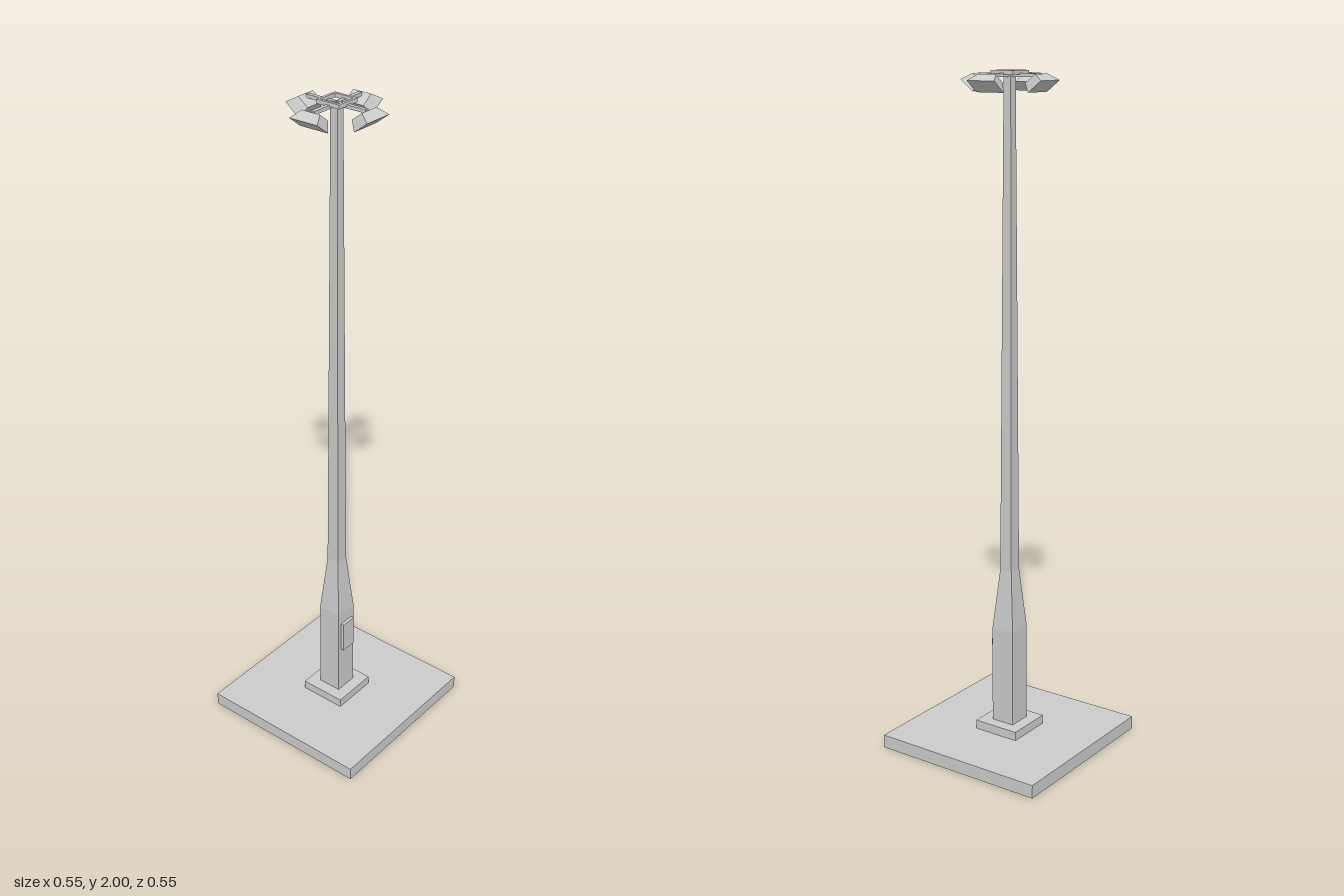
import * as THREE from 'three';

const grey = new THREE.MeshStandardMaterial({ color: 0xcccccc, flatShading: true, side: THREE.DoubleSide });

function add(parent, name, geometry, x = 0, y = 0, z = 0) {
  const mesh = new THREE.Mesh(geometry, grey);
  mesh.name = name;
  mesh.position.set(x, y, z);
  parent.add(mesh);
  return mesh;
}

// Skin over four-cornered sections, closed by a quad at the chosen ends.
function loft(sections, capStart = true, capEnd = true) {
  const index = [];
  const quad = (a, b, c, d) => index.push(a, b, c, a, c, d);
  for (let s = 0; s < sections.length - 1; s++) {
    for (let i = 0; i < 4; i++) {
      const j = (i + 1) % 4;
      quad(s * 4 + i, s * 4 + j, s * 4 + 4 + j, s * 4 + 4 + i);
    }
  }
  const e = (sections.length - 1) * 4;
  if (capStart) quad(3, 2, 1, 0);
  if (capEnd) quad(e, e + 1, e + 2, e + 3);
  const geometry = new THREE.BufferGeometry();
  geometry.setAttribute('position', new THREE.Float32BufferAttribute(sections.flat(2), 3));
  geometry.setIndex(index);
  const flat = geometry.toNonIndexed();
  flat.computeVertexNormals();
  return flat;
}

// Horizontal square of half width r at height y, counter-clockwise from above.
const square = (r, y) => [[-r, y, r], [r, y, r], [r, y, -r], [-r, y, -r]];

// Square frame lying flat, with a square hole.
function frame(outer, inner, height) {
  const points = (r) => [[-r, -r], [r, -r], [r, r], [-r, r]].map(([x, y]) => new THREE.Vector2(x, y));
  const shape = new THREE.Shape(points(outer));
  shape.holes.push(new THREE.Path(points(inner).reverse()));
  return new THREE.ExtrudeGeometry(shape, { depth: height, bevelEnabled: false }).rotateX(-Math.PI / 2);
}

export function createModel() {
  const model = new THREE.Group();
  model.name = 'floodlightMast';

  // Ground slab, hollow underneath, and the plinth on it
  add(model, 'groundSlab', loft([square(0.273, 0), square(0.273, 0.04)], false, true));
  add(model, 'plinth', new THREE.BoxGeometry(0.146, 0.028, 0.146), 0, 0.053, 0);

  // Square pole: straight foot, shoulder, long taper
  add(model, 'pole', loft([
    square(0.037, 0.066), square(0.037, 0.365), square(0.02, 0.55), square(0.012, 1.987),
  ]));
  add(model, 'serviceDoor', new THREE.BoxGeometry(0.05, 0.1, 0.016), 0, 0.275, 0.039);

  // Crown frame
  add(model, 'crownFrame', frame(0.038, 0.03, 0.012), 0, 1.988, 0);

  // Four arms, each with a flared lamp tilted outward and down
  const lamp = loft([
    [[-0.03, 1.967, 0.073], [0.03, 1.967, 0.073], [0.03, 1.991, 0.105], [-0.03, 1.991, 0.105]],
    [[-0.046, 1.942, 0.093], [0.046, 1.942, 0.093], [0.046, 1.974, 0.135], [-0.046, 1.974, 0.135]],
  ]);
  for (let i = 0; i < 4; i++) {
    const unit = new THREE.Group();
    unit.name = 'lampUnit' + (i + 1);
    unit.rotation.y = (i * Math.PI) / 2;
    add(unit, 'arm', new THREE.BoxGeometry(0.012, 0.01, 0.092), 0, 1.987, 0.052);
    add(unit, 'lamp', lamp);
    model.add(unit);
  }
  return model;
}
